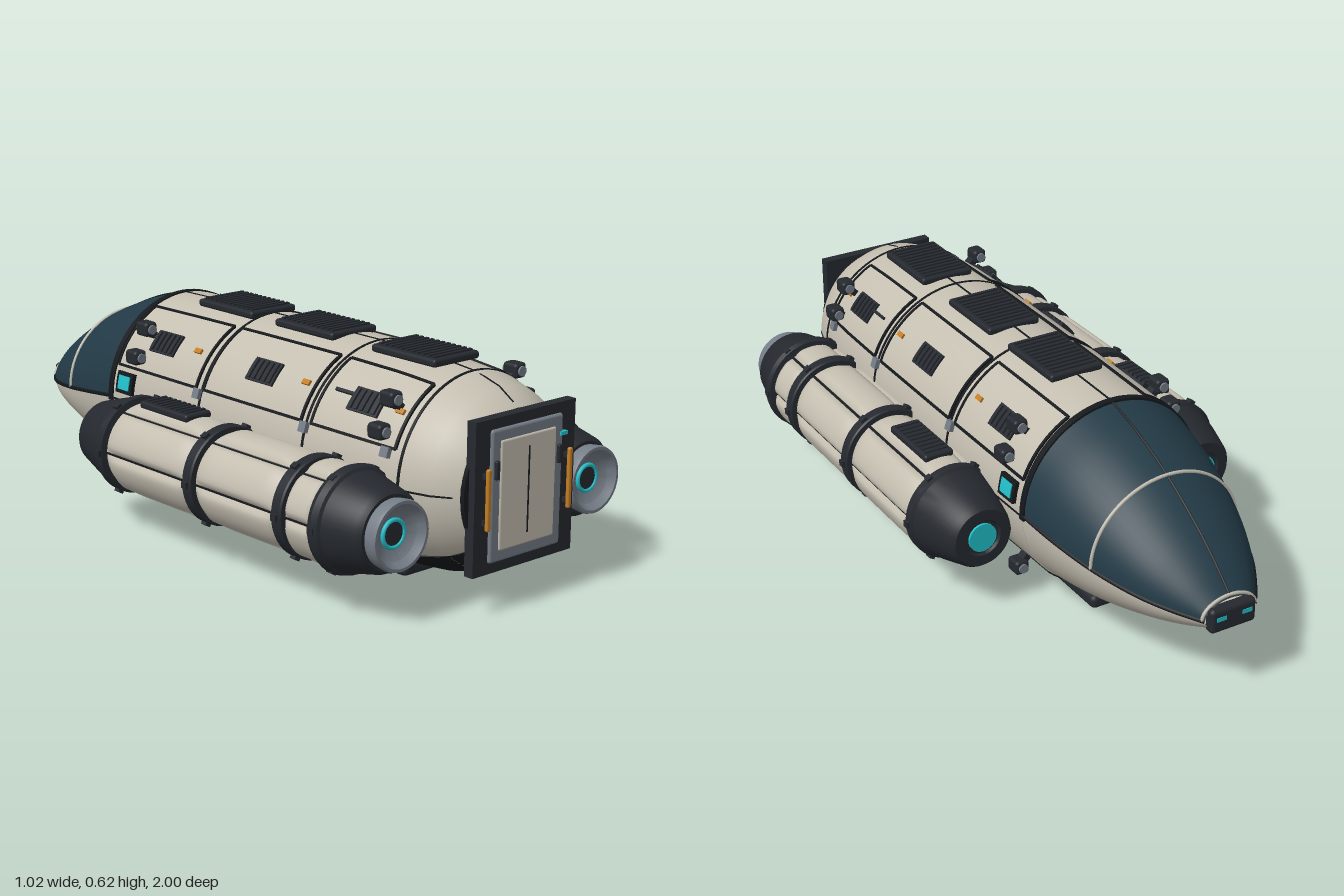
import * as THREE from 'three';
import { toCreasedNormals } from 'three/addons/utils/BufferGeometryUtils.js';
import { RoundedBoxGeometry } from 'three/addons/geometries/RoundedBoxGeometry.js';

const mat = (color, side = THREE.FrontSide) => new THREE.MeshStandardMaterial({ color, side });
const CREAM = mat(0xc4beb0), DARK = mat(0x25292f), BLACK = mat(0x15181c), GREY = mat(0x747c86);
const GLASS = mat(0x223a46, THREE.DoubleSide), SHELL = mat(0xc4beb0, THREE.DoubleSide);
const CYAN = mat(0x22bfca), ORANGE = mat(0xc47d22);
const CY = 0.315; // height of the hull axis

// Hull profile as [radius, z]
const HULL = [[0.277, -0.41], [0.281, -0.2], [0.284, 0.1], [0.284, 0.45], [0.279, 0.65], [0.266, 0.8], [0.243, 0.88], [0.205, 0.94], [0.19, 0.955]];
function hullRadius(z) {
  for (let i = 1; i < HULL.length; i++) {
    const [r0, z0] = HULL[i - 1], [r1, z1] = HULL[i];
    if (z <= z1) return r0 + (r1 - r0) * Math.max(0, (z - z0) / (z1 - z0));
  }
  return 0.19;
}

export function createModel() {
  const root = new THREE.Group();
  root.name = 'shuttle';
  const add = (name, geo, material, x = 0, y = 0, z = 0, parent = root) => {
    const m = new THREE.Mesh(geo, material);
    m.name = name;
    m.position.set(x, y, z);
    parent.add(m);
    return m;
  };
  const box = (name, w, h, d, material, x, y, z, parent) => add(name, new THREE.BoxGeometry(w, h, d), material, x, y, z, parent);
  const rounded = (name, w, h, d, r, material, x, y, z, parent) =>
    add(name, new RoundedBoxGeometry(w, h, d, 2, r), material, x, y, z, parent);
  // Turned part along z from [radius, z] points
  const turned = (name, pts, material, x, y, seg = 48) => {
    const g = new THREE.LatheGeometry(pts.map(p => new THREE.Vector2(p[0], p[1])), seg).rotateX(Math.PI / 2);
    return add(name, toCreasedNormals(g, 0.5), material, x, y, 0);
  };
  // Plate wrapped round an axis; angles run from straight up toward +x
  const wrap = (name, a0, a1, z0, z1, h0, h1, material, { cx = 0, cy = CY, radius = hullRadius, pillow = 0 } = {}) => {
    const nz = Math.max(pillow ? 12 : 1, Math.ceil((z1 - z0) / 0.05));
    const g = new THREE.BoxGeometry(2, 1, 2, Math.max(pillow ? 12 : 1, Math.ceil((a1 - a0) / 0.08)), 1, nz);
    const p = g.attributes.position;
    for (let i = 0; i < p.count; i++) {
      const u = p.getX(i), v = p.getZ(i), z = z0 + (z1 - z0) * (v + 1) / 2, a = a0 + (a1 - a0) * (u + 1) / 2;
      const h = p.getY(i) > 0 ? h1 - pillow * Math.min(1, u ** 8 + v ** 12) : h0;
      const r = radius(z) + h;
      p.setXYZ(i, cx + r * Math.sin(a), cy + r * Math.cos(a), z);
    }
    g.computeVertexNormals();
    return add(name, g, material);
  };

  // Hull, seams and belly shield
  turned('hull', [[0, -0.41], ...HULL, [0, 0.955]], CREAM, 0, CY, 64);
  for (const z of [0, 0.44, 0.79]) wrap('hullSeam', -2.3, 2.3, z - 0.004, z + 0.004, -0.005, 0.002, BLACK);
  for (const a of [0, Math.PI / 2, -Math.PI / 2]) wrap('lengthSeam', a - 0.01, a + 0.01, -0.41, 0.93, -0.005, 0.0015, BLACK);
  wrap('bellyShield', Math.PI - 0.76, Math.PI + 0.76, -0.41, 0.95, -0.01, 0.004, BLACK);
  rounded('skid', 0.2, 0.04, 1.14, 0.015, DARK, 0, 0.02, 0.08);
  wrap('canopyFrame', -1.6, 1.6, -0.42, -0.4, -0.01, 0.004, BLACK);

  // Roof grilles
  for (const z of [-0.12, 0.218, 0.61]) {
    rounded('roofGrille', 0.167, 0.022, 0.24, 0.008, DARK, 0, 0.6, z);
    for (let i = -5; i <= 5; i++) box('roofSlat', 0.14, 0.008, 0.01, DARK, 0, 0.612, z + i * 0.02);
  }

  // Nose: upper and lower half-ellipses swept through stations
  const upper = new THREE.CatmullRomCurve3([[0.277, 0.592, -0.41], [0.261, 0.555, -0.54], [0.231, 0.496, -0.68], [0.185, 0.42, -0.81], [0.135, 0.355, -0.9], [0.078, 0.285, -0.98]]
    .map(p => new THREE.Vector3(...p)), false, 'catmullrom');
  const lower = new THREE.CatmullRomCurve3([[0.32, 0.04, -0.41], [0.303, 0.066, -0.54], [0.283, 0.1, -0.68], [0.264, 0.139, -0.81], [0.25, 0.168, -0.9], [0.238, 0.2, -0.98]]
    .map(p => new THREE.Vector3(...p)), false, 'catmullrom');
  const nosePoint = (u, a, lift = 0) => {
    const p = upper.getPoint(u), q = lower.getPoint(u), c = Math.cos(a);
    const rise = c >= 0 ? p.y - q.x : q.x - q.y;
    return new THREE.Vector3((p.x + lift) * Math.sin(a), q.x + (rise + lift) * c, p.z);
  };
  const noseSkin = (name, a0, material) => {
    const n = 28, pos = [], idx = [];
    for (let j = 0; j <= n; j++) for (let i = 0; i <= n; i++) pos.push(...nosePoint(j / n, a0 + Math.PI * i / n).toArray());
    for (let j = 0; j < n; j++) for (let i = 0; i < n; i++) {
      const a = j * (n + 1) + i, b = a + n + 1;
      idx.push(a, a + 1, b, a + 1, b + 1, b);
    }
    const g = new THREE.BufferGeometry();
    g.setAttribute('position', new THREE.Float32BufferAttribute(pos, 3));
    g.setIndex(idx);
    g.computeVertexNormals();
    add(name, g, material);
  };
  noseSkin('canopy', -Math.PI / 2, GLASS);
  noseSkin('noseUnderside', Math.PI / 2, SHELL);
  const noseRib = (name, fn, r, material) => {
    const pts = Array.from({ length: 25 }, (_, i) => fn(i / 24));
    add(name, new THREE.TubeGeometry(new THREE.CatmullRomCurve3(pts), 40, r, 6), material);
  };
  noseRib('canopyRib', t => nosePoint(0.4, (t - 0.5) * Math.PI, 0.001), 0.005, CREAM);
  noseRib('canopyFrontRib', t => nosePoint(0.985, (t - 0.5) * Math.PI, 0.001), 0.005, CREAM);
  noseRib('canopySpine', t => nosePoint(t, 0), 0.004, BLACK);
  for (const s of [-1, 1]) noseRib('canopySill', t => nosePoint(t, s * Math.PI / 2), 0.006, BLACK);
  rounded('noseTip', 0.14, 0.07, 0.035, 0.012, DARK, 0, 0.238, -0.982);
  for (const s of [-1, 1]) box('noseLight', 0.03, 0.012, 0.006, CYAN, s * 0.04, 0.245, -0.998);

  // Rear door
  turned('doorCollar', [[0.2, 0.935], [0.2, 0.958], [0, 0.958]], BLACK, 0, CY);
  box('doorFrame', 0.366, 0.408, 0.03, DARK, 0, 0.311, 0.963);
  rounded('doorSurround', 0.262, 0.352, 0.02, 0.008, GREY, 0, 0.311, 0.976);
  rounded('doorPanel', 0.204, 0.292, 0.016, 0.006, CREAM, 0, 0.311, 0.982);
  box('doorSlot', 0.004, 0.23, 0.004, BLACK, 0, 0.311, 0.99);
  box('doorLight', 0.024, 0.01, 0.012, CYAN, 0.13, 0.434, 0.985);
  for (const s of [-1, 1]) {
    rounded('doorHandle', 0.014, 0.164, 0.012, 0.005, ORANGE, s * 0.15, 0.311, 0.994);
    for (const y of [0.25, 0.372]) box('handleMount', 0.012, 0.014, 0.016, DARK, s * 0.15, y, 0.983);
    rounded('doorHinge', 0.014, 0.05, 0.014, 0.004, DARK, s * 0.115, 0.382, 0.988);
  }

  for (const s of [-1, 1]) {
    const side = (name, a0, a1, ...rest) => wrap(name, s > 0 ? a0 : -a1, s > 0 ? a1 : -a0, ...rest);
    // Shoulder panels outlined by dark strips
    for (const [z0, z1] of [[-0.39, -0.025], [0.01, 0.42], [0.46, 0.765]]) {
      side('shoulderPanel', 0.45, 1.2, z0, z1, -0.005, 0.003, CREAM);
      for (const a of [0.45, 1.2]) side('panelEdge', a - 0.014, a + 0.014, z0, z1, -0.005, 0.006, BLACK);
      for (const z of [z0, z1]) side('panelEnd', 0.45, 1.2, z - 0.004, z + 0.004, -0.005, 0.006, BLACK);
    }
    // Slatted vents, marker lights, brackets and side window
    for (const z of [-0.22, 0.215, 0.62]) {
      side('sideVent', 0.74, 0.98, z - 0.055, z + 0.055, 0, 0.01, DARK);
      for (let i = -2; i <= 2; i++) side('ventSlat', 0.76, 0.96, z + i * 0.021 - 0.006, z + i * 0.021 + 0.006, 0.008, 0.016, DARK);
    }
    side('ventRod', 0.81, 0.84, 0.5, 0.57, 0, 0.012, DARK);
    for (const z of [-0.075, 0.385, 0.735]) side('markerLight', 0.82, 0.87, z - 0.014, z + 0.014, 0, 0.01, ORANGE);
    for (const z of [-0.01, 0.44, 0.74]) side('bracket', 1.2, 1.3, z - 0.013, z + 0.013, 0, 0.014, GREY);
    side('windowFrame', 1.26, 1.48, -0.375, -0.3, -0.005, 0.012, BLACK);
    side('window', 1.3, 1.44, -0.363, -0.312, 0, 0.015, CYAN);

    // Attitude thrusters
    for (const z of [-0.3, 0.72]) for (const [x, y, a] of [[0.228, 0.534, 0.8], [0.268, 0.456, 1.1], [0.225, 0.09, 2.4]]) {
      rounded('thruster', 0.042, 0.042, 0.052, 0.01, DARK, s * x, y, z);
      add('thrusterNozzle', new THREE.CylinderGeometry(0.014, 0.014, 0.062, 12).rotateX(Math.PI / 2), GREY, s * x, y, z);
      const stem = box('thrusterStem', 0.02, 0.06, 0.028, DARK, s * (x - 0.02 * Math.sin(a)), y - 0.02 * Math.cos(a), z);
      stem.rotation.z = -s * a;
    }

    // Engine pod: core, caps, nozzle and intake
    const px = s * 0.36, py = 0.24;
    const pod = { cx: px, cy: py, radius: () => 0.12 };
    turned('podCore', [[0.12, -0.2], [0.12, 0.75]], BLACK, px, py);
    turned('podFrontCap', [[0, -0.335], [0.05, -0.335], [0.055, -0.342], [0.085, -0.342], [0.094, -0.33], [0.118, -0.25], [0.133, -0.19], [0.14, -0.185], [0.14, -0.16], [0.11, -0.155]], DARK, px, py);
    add('podFrontLight', new THREE.CylinderGeometry(0.042, 0.042, 0.01, 32).rotateX(Math.PI / 2), CYAN, px, py, -0.337);
    turned('podRearCap', [[0.11, 0.705], [0.142, 0.71], [0.147, 0.725], [0.142, 0.745], [0.134, 0.75], [0.112, 0.85], [0.1, 0.865], [0, 0.865]], DARK, px, py);
    turned('nozzle', [[0.086, 0.83], [0.095, 0.895], [0.092, 0.905], [0.084, 0.905], [0.07, 0.885], [0.04, 0.87], [0, 0.87]], GREY, px, py);
    add('nozzleGlow', new THREE.TorusGeometry(0.036, 0.006, 10, 36), CYAN, px, py, 0.873);
    add('nozzleCore', new THREE.CylinderGeometry(0.031, 0.031, 0.01, 32).rotateX(Math.PI / 2), DARK, px, py, 0.87);

    // Pod clamp rings with bolts
    for (const z of [0.22, 0.585]) {
      turned('podRing', [[0.115, z - 0.02], [0.137, z - 0.019], [0.14, z - 0.014], [0.14, z + 0.014], [0.137, z + 0.019], [0.115, z + 0.02]], DARK, px, py);
    }
    for (const z of [-0.172, 0.22, 0.585, 0.725]) for (let k = 0; k < 6; k++) {
      const a = Math.PI / 6 + k * Math.PI / 3;
      box('ringBolt', 0.018, 0.018, 0.02, DARK, px + 0.139 * Math.cos(a + Math.PI / 6), py + 0.139 * Math.sin(a + Math.PI / 6), z).rotation.z = a + Math.PI / 6;
    }
    // Six padded panels around each bay
    for (const [z0, z1] of [[-0.155, 0.198], [0.242, 0.563], [0.607, 0.705]]) for (let k = 0; k < 6; k++) {
      const a = k * Math.PI / 3;
      wrap('podPanel', a - 0.49, a + 0.49, z0, z1, -0.01, 0.016, CREAM, { ...pod, pillow: 0.013 });
    }
    // Pod top grille
    rounded('podGrille', 0.09, 0.022, 0.21, 0.008, DARK, px, py + 0.138, 0);
    for (let i = -4; i <= 4; i++) box('podSlat', 0.07, 0.008, 0.01, DARK, px, py + 0.149, i * 0.021);
  }
  return root;
}
